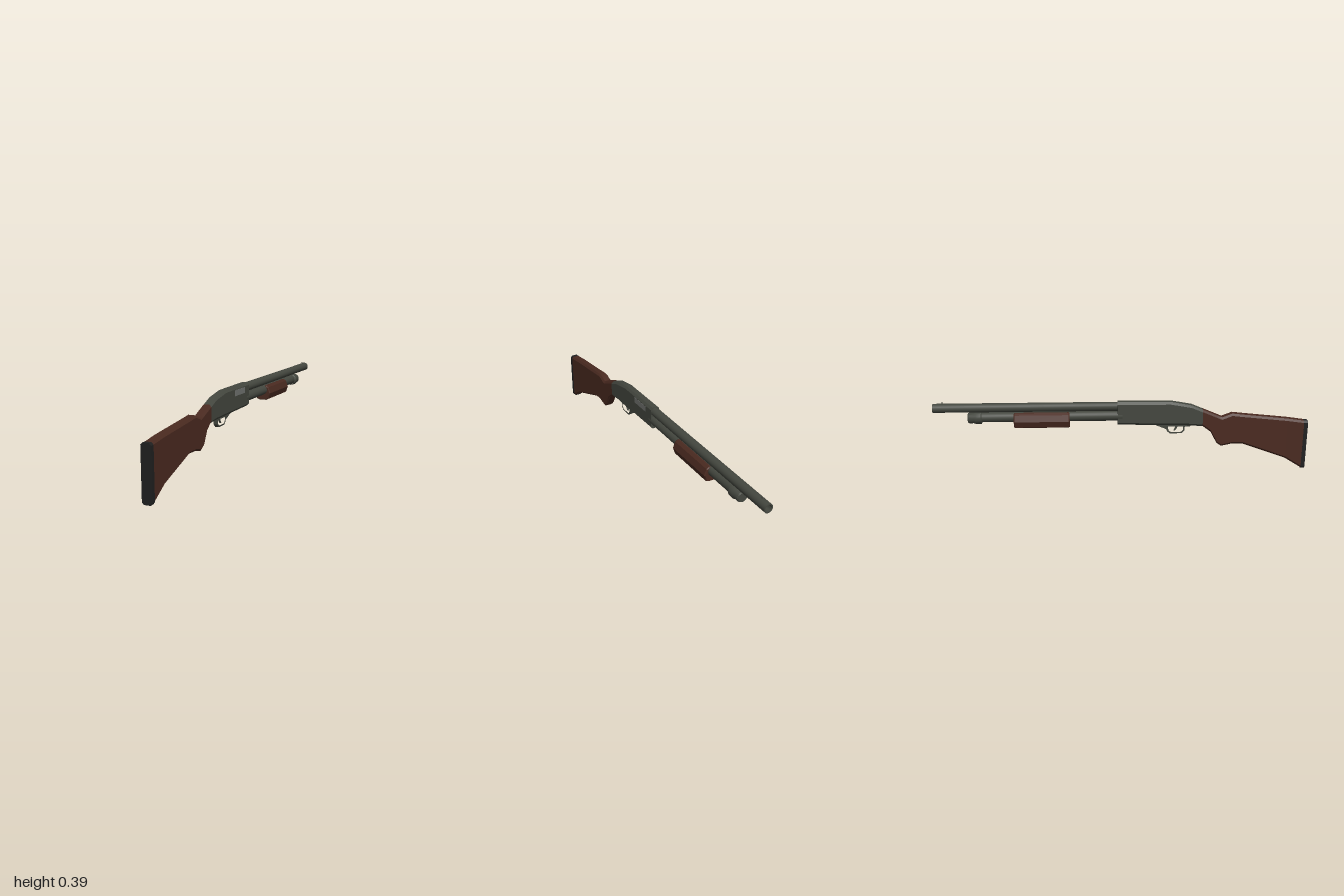
import * as THREE from 'three';
import { toCreasedNormals } from 'three/addons/utils/BufferGeometryUtils.js';

const mat = (name, color) => {
  const m = new THREE.MeshStandardMaterial({ color });
  m.name = name;
  return m;
};

// Chamfered box section lofted along z; stations run [z, bottom, top, halfWidth], back to front
function loft(stations, cx, cy) {
  const rings = stations.map(([z, b, t, w]) => [
    [w - cx, b, z], [w, b + cy, z], [w, t - cy, z], [w - cx, t, z],
    [cx - w, t, z], [-w, t - cy, z], [-w, b + cy, z], [cx - w, b, z],
  ]);
  const pos = [];
  const tri = (...p) => p.forEach((v) => pos.push(...v));
  for (let i = 0; i < rings.length - 1; i++) {
    for (let j = 0; j < 8; j++) {
      const k = (j + 1) % 8;
      const a = rings[i], b = rings[i + 1];
      tri(a[j], b[j], a[k]);
      tri(a[k], b[j], b[k]);
    }
  }
  const last = rings[rings.length - 1];
  for (let j = 1; j < 7; j++) {
    tri(rings[0][0], rings[0][j], rings[0][j + 1]);
    tri(last[0], last[j + 1], last[j]);
  }
  const g = new THREE.BufferGeometry();
  g.setAttribute('position', new THREE.Float32BufferAttribute(pos, 3));
  return toCreasedNormals(g, 0.5);
}

// Turned part along -z; profile runs [radius, distance forward]
function turned(profile, y) {
  const g = new THREE.LatheGeometry(profile.map(([r, d]) => new THREE.Vector2(r, d)), 18);
  g.rotateX(-Math.PI / 2).translate(0, y, 0);
  return toCreasedNormals(g, 0.6);
}

const shapeOf = (pts) => new THREE.Shape(pts.map(([a, b]) => new THREE.Vector2(a, b)));

// Side outline given as [z, y], extruded to a width across x
function sidePlate(shape, width) {
  const g = new THREE.ExtrudeGeometry(shape, { depth: width, bevelEnabled: false });
  return g.translate(0, 0, -width / 2).rotateY(-Math.PI / 2);
}

export function createModel() {
  const root = new THREE.Group();
  const metal = mat('gunmetal', 0x44473f);
  const wood = mat('walnut', 0x4a2a20);
  const rubber = mat('rubber', 0x202020);
  const steel = mat('steel', 0x70726f);
  const add = (name, geometry, material) => {
    const mesh = new THREE.Mesh(geometry, material);
    mesh.name = name;
    root.add(mesh);
    return mesh;
  };

  // Shoulder stock and pad
  add('buttPad', loft([[1, 0, 0.273, 0.026], [0.979, 0, 0.273, 0.026]], 0.01, 0.011), rubber);
  add('stock', loft([
    [0.979, 0.004, 0.273, 0.025], [0.89, 0.06, 0.286, 0.025], [0.65, 0.147, 0.311, 0.025],
    [0.59, 0.147, 0.318, 0.025], [0.535, 0.135, 0.297, 0.025], [0.51, 0.152, 0.307, 0.025],
    [0.475, 0.217, 0.322, 0.025], [0.43, 0.25, 0.341, 0.025],
  ], 0.009, 0.011), wood);

  // Receiver
  add('receiver', loft([
    [0.43, 0.248, 0.341, 0.025], [0.37, 0.254, 0.366, 0.025], [0.26, 0.257, 0.386, 0.025],
    [-0.025, 0.263, 0.388, 0.025],
  ], 0.01, 0.012), metal);
  const port = add('ejectionPort', new THREE.BoxGeometry(0.004, 0.031, 0.122), steel);
  port.position.set(0.0245, 0.356, 0.093);

  // Trigger guard with open loop
  const guard = shapeOf([
    [0.37, 0.258], [0.365, 0.247], [0.336, 0.247], [0.335, 0.224], [0.318, 0.208],
    [0.256, 0.208], [0.241, 0.22], [0.236, 0.232], [0.18, 0.255], [0.18, 0.262],
  ]);
  guard.holes.push(new THREE.Path([
    [0.327, 0.247], [0.327, 0.227], [0.314, 0.216], [0.26, 0.216], [0.249, 0.224], [0.244, 0.247],
  ].map(([a, b]) => new THREE.Vector2(a, b))));
  add('triggerGuard', sidePlate(guard, 0.02), metal);
  add('trigger', sidePlate(shapeOf([
    [0.3, 0.25], [0.293, 0.234], [0.281, 0.221], [0.276, 0.222], [0.284, 0.236], [0.286, 0.25],
  ]), 0.008), metal);

  // Barrel with hollow muzzle and bead sight
  add('barrel', turned([
    [0.024, 0], [0.024, 1], [0.018, 1], [0.018, 0.85], [0, 0.85],
  ], 0.361), metal);
  const bead = add('frontSight', new THREE.CylinderGeometry(0.003, 0.003, 0.012, 8), metal);
  bead.position.set(0, 0.388, -0.95);

  // Magazine tube and cap
  add('magazineTube', turned([[0.027, 0], [0.027, 0.76]], 0.309), metal);
  add('magazineCap', turned([
    [0.026, 0.742], [0.033, 0.748], [0.034, 0.775], [0.029, 0.788], [0.029, 0.812],
    [0.025, 0.818], [0, 0.818],
  ], 0.306), metal);

  // Sliding fore-end
  const half = [[0.02, 0.254], [0.033, 0.26], [0.044, 0.292], [0.032, 0.324], [0.02, 0.332]];
  const section = shapeOf([...half, ...half.map(([x, y]) => [-x, y]).reverse()]);
  const grip = new THREE.ExtrudeGeometry(section, {
    depth: 0.283, bevelThickness: 0.006, bevelSize: 0.004, bevelOffset: -0.002, bevelSegments: 1,
  });
  add('foreEnd', grip.translate(0, 0, -0.569), wood);

  return root;
}
